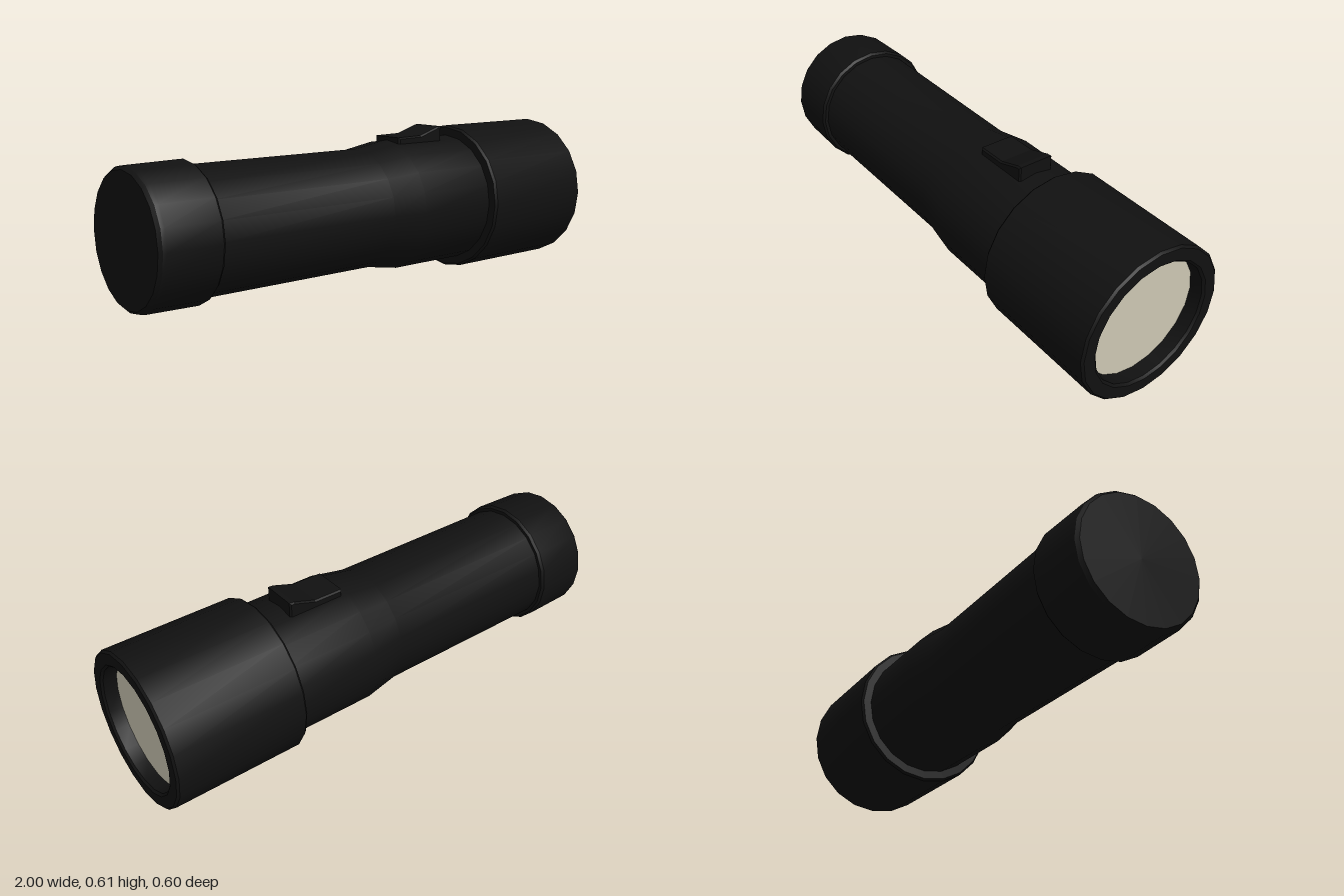
import * as THREE from 'three';
import { toCreasedNormals } from 'three/addons/utils/BufferGeometryUtils.js';

const SIDES = 20;
const AXIS_Y = 0.303;

export function createModel() {
  const model = new THREE.Group();
  model.name = 'flashlight';
  const black = new THREE.MeshStandardMaterial({ color: 0x111111 });
  const glass = new THREE.MeshStandardMaterial({ color: 0xcdc8b4 });

  // Turned part: profile of [x along the axis, radius], from tail to head
  function turned(name, profile, material) {
    const points = profile.map(([x, r]) => new THREE.Vector2(r, x));
    const geometry = toCreasedNormals(new THREE.LatheGeometry(points, SIDES), 0.5);
    geometry.rotateZ(-Math.PI / 2);
    const mesh = new THREE.Mesh(geometry, material);
    mesh.name = name;
    mesh.position.y = AXIS_Y;
    model.add(mesh);
  }

  // Tail cap, slightly wider than the barrel
  turned('tailCap', [
    [-1, 0], [-1, 0.24], [-0.988, 0.251], [-0.975, 0.254],
    [-0.77, 0.258], [-0.76, 0.25], [-0.76, 0.23],
  ], black);

  // Barrel widening into the neck
  turned('barrel', [
    [-0.78, 0.237], [-0.01, 0.237], [0.13, 0.261], [0.5, 0.261],
  ], black);

  // Head with a chamfered rim and a bore down to the lens
  turned('head', [
    [0.475, 0.25], [0.475, 0.294], [0.484, 0.302], [0.992, 0.302],
    [1, 0.294], [1, 0.249], [0.992, 0.24], [0.935, 0.24],
  ], black);

  // Recessed lens
  turned('lens', [[0.94, 0.241], [0.94, 0]], glass);

  // Thumb switch: flat pad rising to a raised front edge
  const bevel = 0.006;
  const side = new THREE.Shape([
    [0.156, 0.53], [0.374, 0.53], [0.374, 0.605], [0.362, 0.604],
    [0.27, 0.574], [0.156, 0.572],
  ].map(([x, y]) => new THREE.Vector2(x, y)));
  const pad = new THREE.ExtrudeGeometry(side, {
    depth: 0.134, bevelEnabled: true, bevelThickness: bevel, bevelSize: bevel, bevelSegments: 1,
  });
  pad.translate(0, 0, -0.067);
  const thumbSwitch = new THREE.Mesh(pad, black);
  thumbSwitch.name = 'thumbSwitch';
  model.add(thumbSwitch);

  return model;
}
